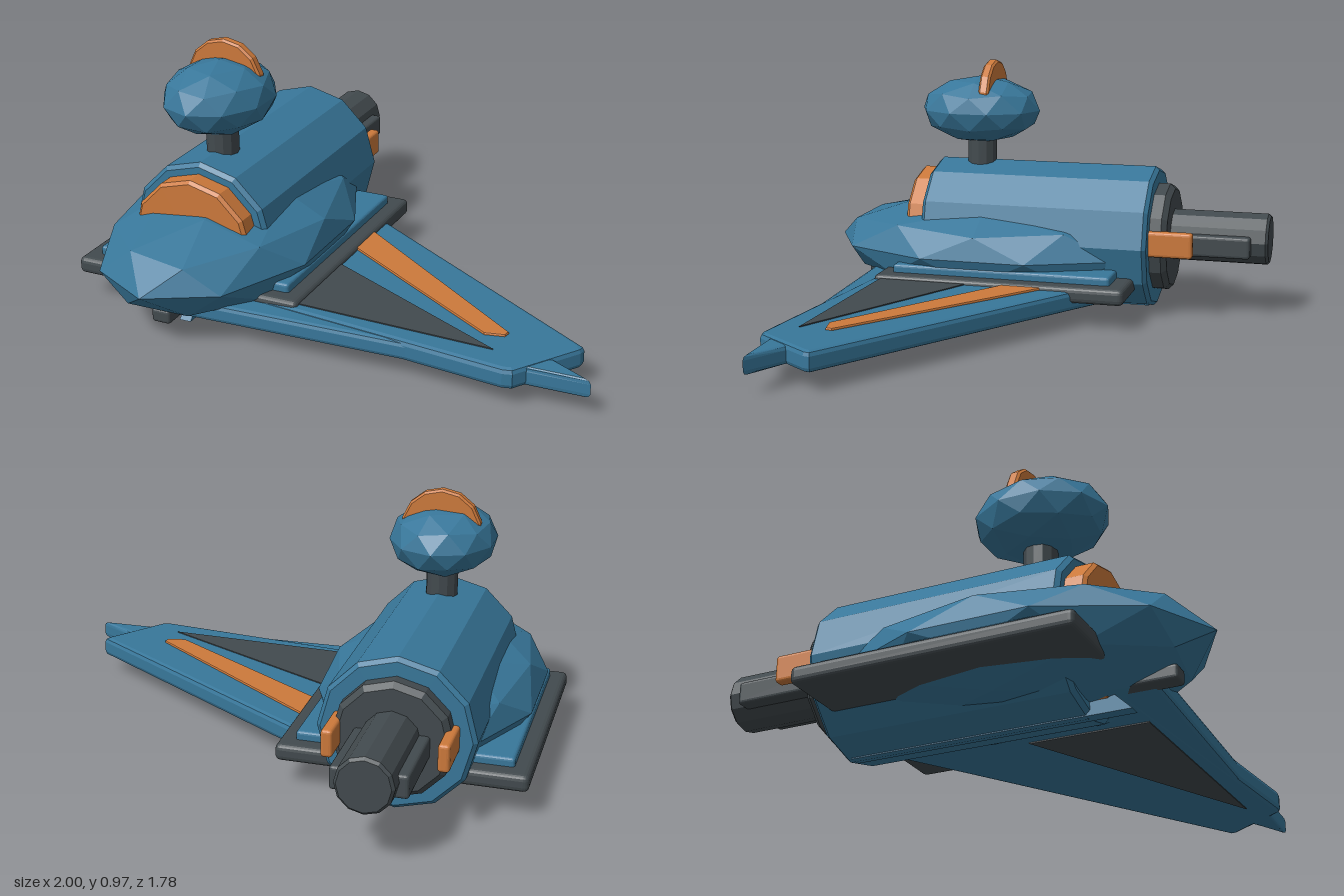
import * as THREE from 'three';
import { RoundedBoxGeometry } from 'three/addons/geometries/RoundedBoxGeometry.js';

const CX = -0.545; // centre line of the fuselage

export function createModel() {
  const model = new THREE.Group();
  const paint = (name, color) => {
    const m = new THREE.MeshStandardMaterial({ color });
    m.name = name;
    return m;
  };
  const blue = paint('hull blue', 0x38779a);
  const orange = paint('trim orange', 0xcc793b);
  const dark = paint('dark grey', 0x424a4e);

  // Adds a faceted mesh
  const add = (name, geometry, material, x = 0, y = 0, z = 0) => {
    const g = geometry.index ? geometry.toNonIndexed() : geometry;
    g.computeVertexNormals();
    const mesh = new THREE.Mesh(g, material);
    mesh.name = name;
    mesh.position.set(x, y, z);
    model.add(mesh);
    return mesh;
  };

  // Faceted ellipsoid with a vertex at its top
  const gem = (rx, ry, rz) => {
    const g = new THREE.IcosahedronGeometry(1, 1);
    g.rotateX(-Math.atan((1 + Math.sqrt(5)) / 2)).rotateY(Math.PI / 2);
    return g.scale(rx, ry, rz);
  };

  // Chamfered drum along z, from z = 0 to z = length
  const drum = (r, length, sides, b) => {
    const profile = [[0, 0], [r - b, 0], [r, b], [r, length - b], [r - b, length], [0, length]];
    const g = new THREE.LatheGeometry(profile.map(p => new THREE.Vector2(...p)), sides);
    return g.rotateX(Math.PI / 2);
  };

  // Chamfered slab spanning given limits
  const slab = (name, material, [x0, x1], [y0, y1], [z0, z1], b = 0.012) =>
    add(name, new RoundedBoxGeometry(x1 - x0, y1 - y0, z1 - z0, 2, b), material,
      (x0 + x1) / 2, (y0 + y1) / 2, (z0 + z1) / 2);

  // Flat plate with an outline in x and z
  const plate = (name, material, outline, y0, y1, b) => {
    const shape = new THREE.Shape(outline.map(p => new THREE.Vector2(...p)));
    const g = new THREE.ExtrudeGeometry(shape, {
      depth: y1 - y0 - 2 * b, bevelEnabled: b > 0, bevelThickness: b,
      bevelSize: b, bevelOffset: -b, bevelSegments: 2,
    });
    g.rotateX(Math.PI / 2);
    return add(name, g, material, 0, y1 - b, 0);
  };

  // Fuselage, windshield ring and nose
  add('fuselage', drum(0.283, 0.91, 12, 0.015), blue, CX, 0.283, -0.45);
  add('windshield', drum(0.24, 0.2, 12, 0.012), orange, CX, 0.285, 0.335);
  add('nose', gem(0.42, 0.2, 0.68), blue, CX, 0.225, 0.21);

  // Head on its neck, with a crest
  const neck = new THREE.CylinderGeometry(0.06, 0.06, 0.16, 12);
  add('neck', neck, dark, CX, 0.62, 0.28);
  add('head', gem(0.2, 0.135, 0.245), blue, CX, 0.77, 0.285);
  add('crest', drum(0.15, 0.042, 14, 0.008), orange, CX, 0.82, 0.214);

  // Engine
  add('engineRing', drum(0.215, 0.09, 12, 0.02), dark, CX, 0.285, -0.515);
  add('exhaust', drum(0.102, 0.42, 12, 0.01), dark, CX, 0.297, -0.895);
  slab('exhaustRails', dark, [CX - 0.133, CX + 0.133], [0.238, 0.322], [-0.83, -0.48]);
  for (const s of [-1, 1]) {
    const x = CX + s * 0.2;
    slab('rearTab', orange, [x - 0.021, x + 0.021], [0.245, 0.345], [-0.62, -0.4]);
  }

  // Base tray under the fuselage
  slab('baseTray', dark, [-1, -0.095], [0.1, 0.163], [-0.4, 0.595], 0.02);
  slab('trayPanel', blue, [-0.94, -0.155], [0.14, 0.195], [-0.335, 0.535]);

  // Single wing: main panel and trailing blade
  plate('wing', blue, [[-0.45, -0.42], [-0.1, -0.2], [0.91, 0.44], [0.905, 0.465],
    [0.745, 0.69], [0.71, 0.698], [-0.5, 0.57]], 0.068, 0.145, 0.018);
  plate('wingBlade', blue, [[CX, 0.4], [-0.1, 0.45], [0.84, 0.55], [0.995, 0.638],
    [0.35, 0.66], [CX, 0.69]], 0.07, 0.138, 0.016);
  plate('wingInset', dark, [[-0.3, 0.12], [-0.1, 0.22], [0.64, 0.59], [-0.3, 0.56]],
    0.064, 0.149, 0);
  plate('wingStripe', orange, [[-0.2, -0.155], [-0.1, -0.08], [0.65, 0.465], [0.645, 0.49],
    [0.575, 0.505], [-0.1, 0.08], [-0.2, 0.015]], 0.13, 0.154, 0.005);

  // Keel fin and nose skid
  const keel = new THREE.Shape([[-0.42, 0.002], [0.605, 0.002], [0.53, 0.075], [-0.42, 0.075]]
    .map(p => new THREE.Vector2(...p)));
  add('keel', new THREE.ExtrudeGeometry(keel, { depth: 0.045, bevelEnabled: false })
    .rotateY(-Math.PI / 2), blue, CX + 0.0225, 0, 0);
  slab('noseSkid', dark, [CX - 0.037, CX + 0.037], [0.07, 0.123], [0.5, 0.765]);

  return model;
}
